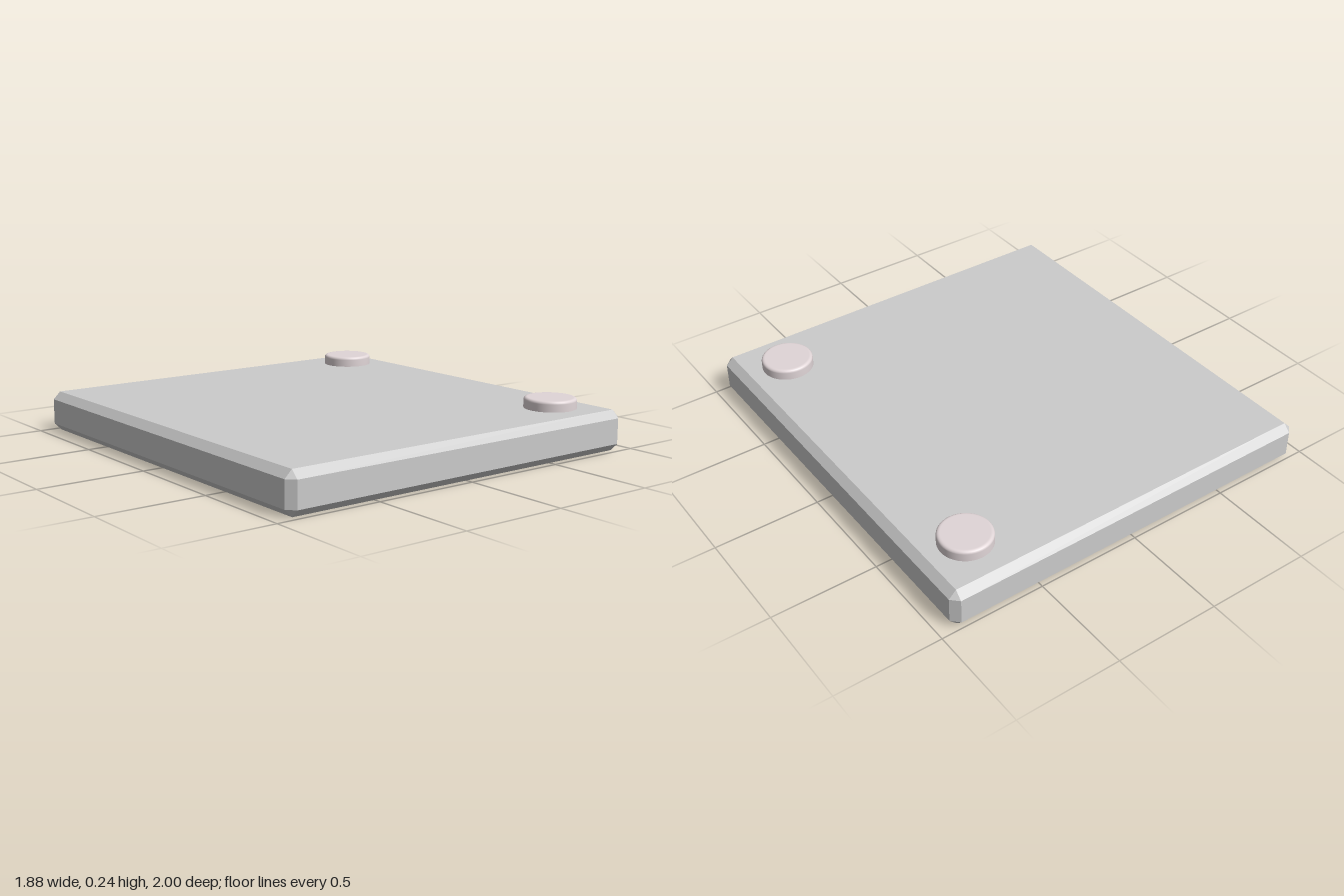
import * as THREE from 'three';
import { ConvexGeometry } from 'three/addons/geometries/ConvexGeometry.js';

// Box with every edge cut at 45 degrees: three points around each corner
function chamferedBox(w, h, d, c) {
  const points = [];
  for (const sx of [-1, 1]) for (const sy of [-1, 1]) for (const sz of [-1, 1]) {
    for (let axis = 0; axis < 3; axis++) {
      const inset = [0, 1, 2].map((i) => (i === axis ? 0 : c));
      points.push(new THREE.Vector3(
        sx * (w / 2 - inset[0]), sy * (h / 2 - inset[1]), sz * (d / 2 - inset[2])));
    }
  }
  return new ConvexGeometry(points);
}

// Round stud with a small rounded rim
function studGeometry(radius, height, round) {
  const profile = [new THREE.Vector2(0, 0), new THREE.Vector2(radius, 0), new THREE.Vector2(radius, 0.004)];
  for (let i = 0; i <= 4; i++) {
    const a = (i / 4) * Math.PI / 2;
    profile.push(new THREE.Vector2(
      radius - round + round * Math.cos(a), height - round + round * Math.sin(a)));
  }
  profile.push(new THREE.Vector2(radius - round - 0.004, height), new THREE.Vector2(0, height));
  return new THREE.LatheGeometry(profile, 48);
}

export function createModel() {
  const model = new THREE.Group();
  model.name = 'panelWithStuds';

  // Slab
  const height = 0.19;
  const slab = new THREE.Mesh(
    chamferedBox(1.88, height, 2, 0.035),
    new THREE.MeshStandardMaterial({ color: 0xcccccc, flatShading: true }));
  slab.name = 'slab';
  slab.position.y = height / 2;
  model.add(slab);

  // Two studs near the left edge, sunk slightly into the slab
  const geometry = studGeometry(0.122, 0.06, 0.014);
  const material = new THREE.MeshStandardMaterial({ color: 0xe0d5d7 });
  for (const [name, side] of [['frontStud', 1], ['backStud', -1]]) {
    const stud = new THREE.Mesh(geometry, material);
    stud.name = name;
    stud.position.set(0.715, height - 0.01, side * 0.755);
    model.add(stud);
  }
  return model;
}
